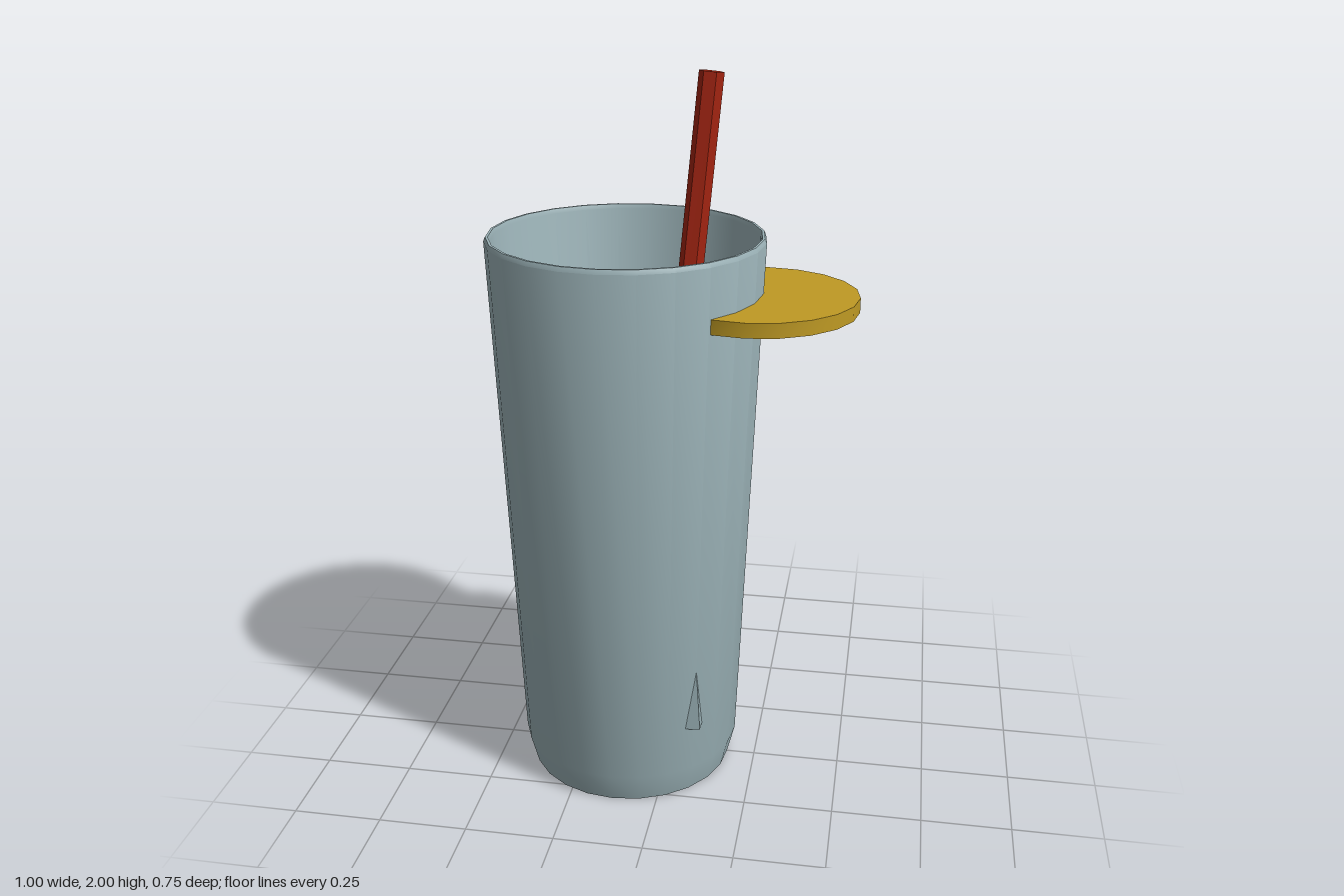
import * as THREE from 'three';
import { toCreasedNormals } from 'three/addons/utils/BufferGeometryUtils.js';

const material = (name, color) => {
  const m = new THREE.MeshStandardMaterial({ color });
  m.name = name;
  return m;
};

export function createModel() {
  const glassGrey = material('glassGrey', 0x9bb2b7);
  const drinkGreen = material('drinkGreen', 0xa8b238);
  const lemonYellow = material('lemonYellow', 0xbf9a24);
  const strawRed = material('strawRed', 0xa32411);

  const model = new THREE.Group();
  model.name = 'drinkWithStraw';
  const axisX = -0.125;

  const add = (name, geometry, mat, x = 0, y = 0, z = 0) => {
    const mesh = new THREE.Mesh(geometry, mat);
    mesh.name = name;
    mesh.position.set(x, y, z);
    model.add(mesh);
    return mesh;
  };

  // Tapered hollow glass: outer wall, bevelled rim, inner wall, floor
  const profile = [
    [0, 0.004], [0.293, 0.004], [0.315, 0.09], [0.376, 1.575], [0.371, 1.587],
    [0.364, 1.587], [0.36, 1.575], [0.3, 0.09], [0.285, 0.04], [0, 0.04],
  ].map(([r, y]) => new THREE.Vector2(r, y));
  add('glass', toCreasedNormals(new THREE.LatheGeometry(profile, 24), 0.5), glassGrey, axisX);

  // Drink inside the glass
  const drink = new THREE.CylinderGeometry(0.32, 0.285, 0.74, 22, 1, false, Math.PI / 2);
  add('drink', drink, drinkGreen, axisX, 0.43, 0);

  // Tilted ice cube whose lower corner pokes through the wall
  const ice = add('iceCube', new THREE.BoxGeometry(0.2, 0.2, 0.2), glassGrey, 0.013, 0.3155, 0.138);
  ice.quaternion.setFromAxisAngle(new THREE.Vector3(1, 0, -1).normalize(), -0.1);

  // Lemon slice pushed onto the wall
  const slice = toCreasedNormals(new THREE.CylinderGeometry(0.272, 0.272, 0.04, 20), 0.5);
  add('lemonSlice', slice, lemonYellow, 0.229, 1.42, 0);

  // Six-sided straw with a slight bend below the slice
  const up = new THREE.Vector3(0, 1, 0);
  const strawPart = (name, a, b) => {
    const dir = b.clone().sub(a);
    const geo = new THREE.CylinderGeometry(0.034, 0.034, dir.length(), 6, 1, false, Math.PI / 6);
    const mid = a.clone().add(b).multiplyScalar(0.5);
    const mesh = add(name, toCreasedNormals(geo, 0.5), strawRed, mid.x, mid.y, mid.z);
    mesh.quaternion.setFromUnitVectors(up, dir.normalize());
  };
  const bend = new THREE.Vector3(0.022, 1.3, -0.068);
  strawPart('strawTop', bend, new THREE.Vector3(0.083, 1.996, -0.126));
  strawPart('strawBottom', new THREE.Vector3(-0.012, 0.0045, -0.032), bend);

  return model;
}
